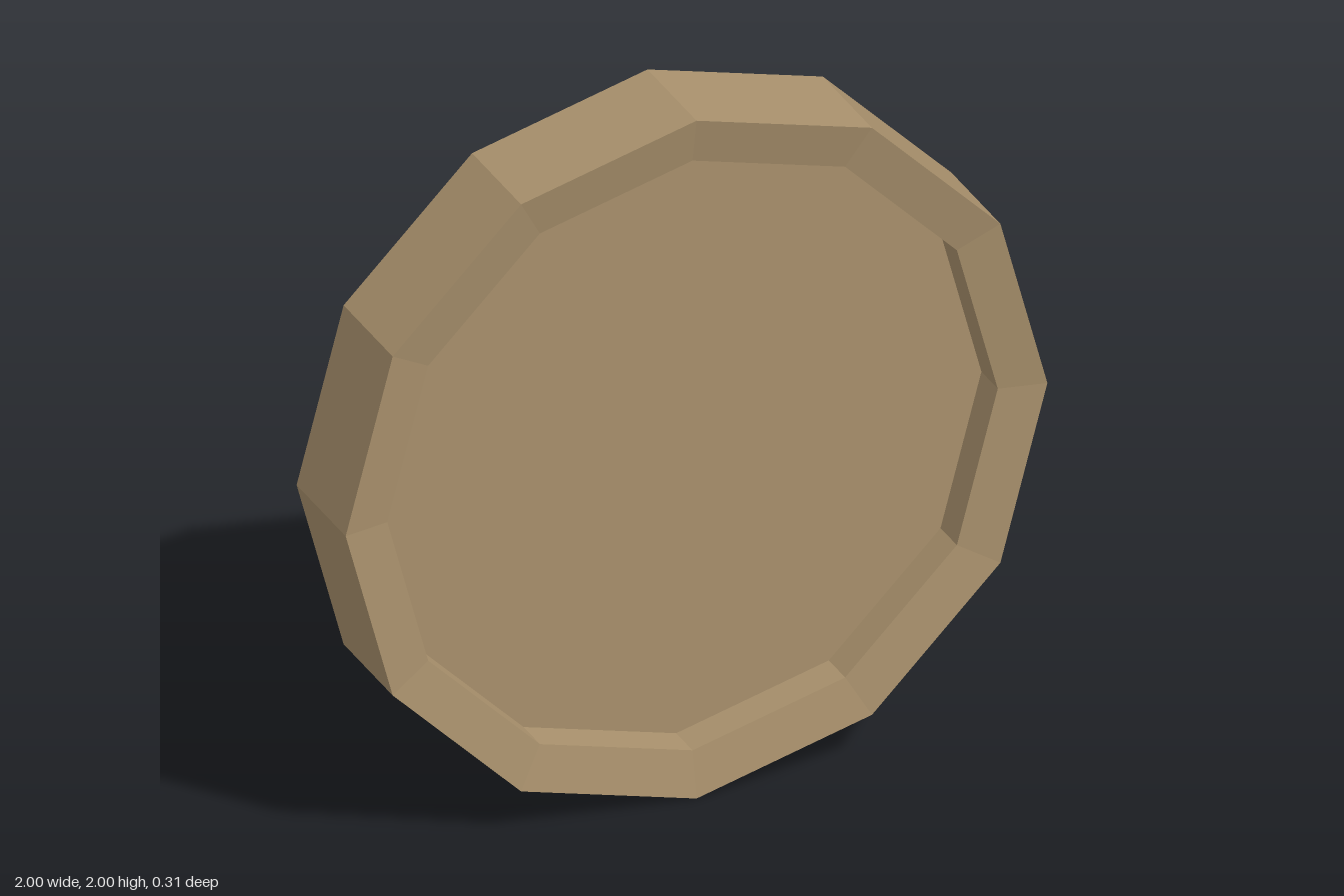
import * as THREE from 'three';

const SIDES = 12;
const OUTER = 1;      // rim corner radius
const INNER = 0.87;   // recess corner radius
const HALF = 0.153;   // half the rim thickness
const LIP = 0.128;    // half thickness at the inner edge of the sloped lip
const PANEL = 0.026;  // half thickness of the central panel

export function createModel() {
  const wood = new THREE.MeshStandardMaterial({ color: 0xa8906c });
  wood.name = 'tan';
  const model = new THREE.Group();
  model.name = 'disc';

  function add(name, geometry) {
    // stand the disc upright, with one corner at the top and flat facets
    const faceted = geometry.toNonIndexed();
    faceted.rotateX(Math.PI / 2);
    faceted.computeVertexNormals();
    const mesh = new THREE.Mesh(faceted, wood);
    mesh.name = name;
    mesh.position.y = 1;
    model.add(mesh);
  }

  // rim: recess wall, sloped lip, outer band, sloped lip, recess wall
  const profile = [
    [INNER, -PANEL], [INNER, -LIP], [OUTER, -HALF],
    [OUTER, HALF], [INNER, LIP], [INNER, PANEL],
  ].map(([r, y]) => new THREE.Vector2(r, y));
  add('rim', new THREE.LatheGeometry(profile, SIDES));

  // thin panel recessed on both sides
  add('panel', new THREE.CylinderGeometry(INNER, INNER, PANEL * 2, SIDES));

  return model;
}
